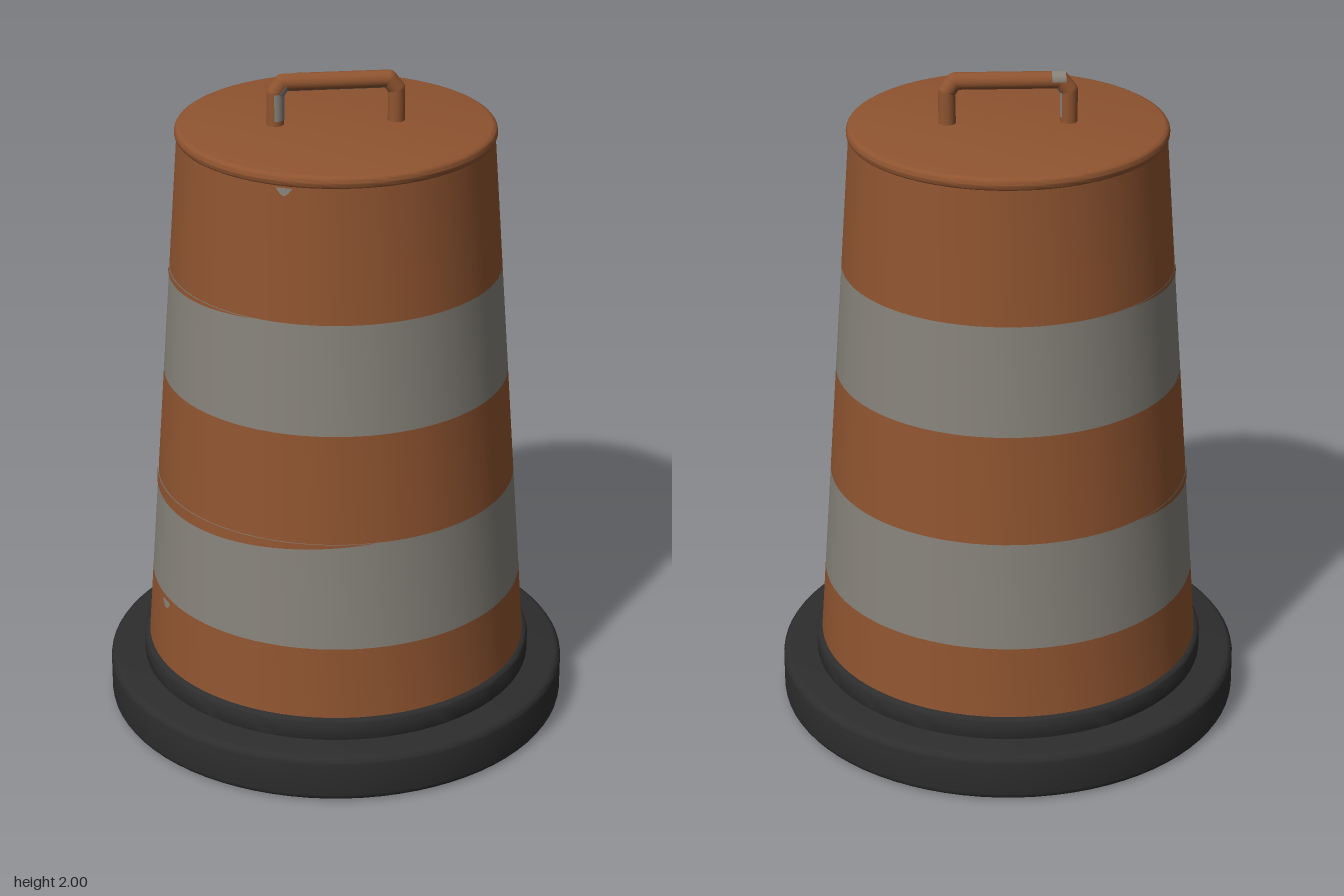
import * as THREE from 'three';
import { toCreasedNormals } from 'three/addons/utils/BufferGeometryUtils.js';

export function createModel() {
  const group = new THREE.Group();
  const material = (name, color) => new THREE.MeshStandardMaterial({ name, color });
  const orange = material('fadedOrange', 0x8f5430);
  const grey = material('reflectiveGrey', 0x86827a);
  const black = material('blackRubber', 0x2d2d2d);

  const add = (name, geometry, mat) => {
    const mesh = new THREE.Mesh(geometry, mat);
    mesh.name = name;
    group.add(mesh);
    return mesh;
  };
  const lathe = (points) => toCreasedNormals(
    new THREE.LatheGeometry(points.map(([x, y]) => new THREE.Vector2(x, y)), 80), 0.6);

  // Weighted foot with a raised collar
  const slab = (radius, bottom, top, bevel) => {
    const profile = [[0, bottom], [radius - bevel, bottom]];
    for (const [y, start] of [[bottom + bevel, -Math.PI / 2], [top - bevel, 0]]) {
      for (let i = 0; i <= 4; i++) {
        const t = start + (i / 4) * Math.PI / 2;
        if (i === 0 && start < 0) continue;
        profile.push([radius - bevel + bevel * Math.cos(t), y + bevel * Math.sin(t)]);
      }
    }
    profile.push([0, top]);
    return lathe(profile);
  };
  add('base', slab(0.7, 0, 0.145, 0.022), black);
  add('baseCollar', slab(0.595, 0.13, 0.21, 0.018), black);

  // Tapered drum in alternating bands
  const radiusAt = (y) => THREE.MathUtils.mapLinear(y, 0.21, 1.81, 0.578, 0.46);
  const levels = [0.2, 0.43, 0.76, 1.09, 1.42, 1.815];
  for (let i = 0; i < 5; i++) {
    const [y0, y1] = [levels[i], levels[i + 1]];
    add(i % 2 ? 'reflectiveBand' : 'drumBand',
      lathe([[radiusAt(y0), y0], [radiusAt(y1), y1]]), i % 2 ? grey : orange);
  }

  // Rounded lid
  add('lid', slab(0.466, 1.81, 1.85, 0.018), orange);

  // Worn patches curved around the drum; angles run from the front towards the right side
  const wear = (name, from, to, bounds, mat) => {
    const geometry = new THREE.PlaneGeometry(1, 1, 32, 1);
    const p = geometry.attributes.position;
    for (let i = 0; i < p.count; i++) {
      const t = 0.5 - p.getX(i);
      const a = from + (to - from) * t;
      const [low, high] = bounds(t);
      const y = p.getY(i) > 0 ? high : low;
      const r = radiusAt(y) + 0.003;
      p.setXYZ(i, -Math.sin(a) * r, y, Math.cos(a) * r);
    }
    geometry.computeVertexNormals();
    add(name, geometry, mat);
  };
  wear('lowerBandWear', -0.1, 2.4, (t) => [0.76 - 0.036 * Math.sin(Math.PI * t), 0.76], orange);
  wear('upperBandWear', 0.6, 2.4, (t) => [1.42 - 0.016 * Math.sin(Math.PI * t), 1.42], orange);
  wear('upperScuff', 0.38, 0.48, (t) => [1.808 - 0.02 * Math.sin(Math.PI * t), 1.81], grey);
  wear('lowerScuff', 1.2, 1.28, (t) => [0.41 - 0.015 * Math.sin(Math.PI * t), 0.42], grey);

  // Bent bar handle from straight rods and ball joints
  const rod = (name, a, b, mat, radius = 0.025, start = 0, sweep = Math.PI * 2) => {
    const from = new THREE.Vector3(...a, 0);
    const to = new THREE.Vector3(...b, 0);
    const axis = to.clone().sub(from);
    const mesh = add(name,
      new THREE.CylinderGeometry(radius, radius, axis.length(), 20, 1, true, start, sweep), mat);
    mesh.position.copy(from).add(to).multiplyScalar(0.5);
    mesh.quaternion.setFromUnitVectors(new THREE.Vector3(0, 1, 0), axis.normalize());
  };
  const path = [[-0.175, 1.84], [-0.175, 1.945], [-0.152, 1.975], [0.152, 1.975], [0.175, 1.945], [0.175, 1.84]];
  for (let i = 0; i < path.length - 1; i++) {
    rod('handleRod', path[i], path[i + 1], orange);
    if (i > 0) {
      add('handleJoint', new THREE.SphereGeometry(0.025, 20, 12), orange)
        .position.set(...path[i], 0);
    }
  }

  // Scraped paint on the handle
  rod('handleLegScrape', [-0.175, 1.865], [-0.175, 1.945], grey, 0.0262, -0.2, 2.4);
  rod('handleCornerScrape', [-0.175, 1.945], [-0.152, 1.975], grey, 0.0262, 0.3, 1.9);
  rod('handleTopScrape', [-0.165, 1.975], [-0.125, 1.975], grey, 0.0262, Math.PI, 1.7);
  rod('handleUnderScrape', [-0.15, 1.975], [0.15, 1.975], grey, 0.0262, 0.95, 0.5);

  return group;
}
